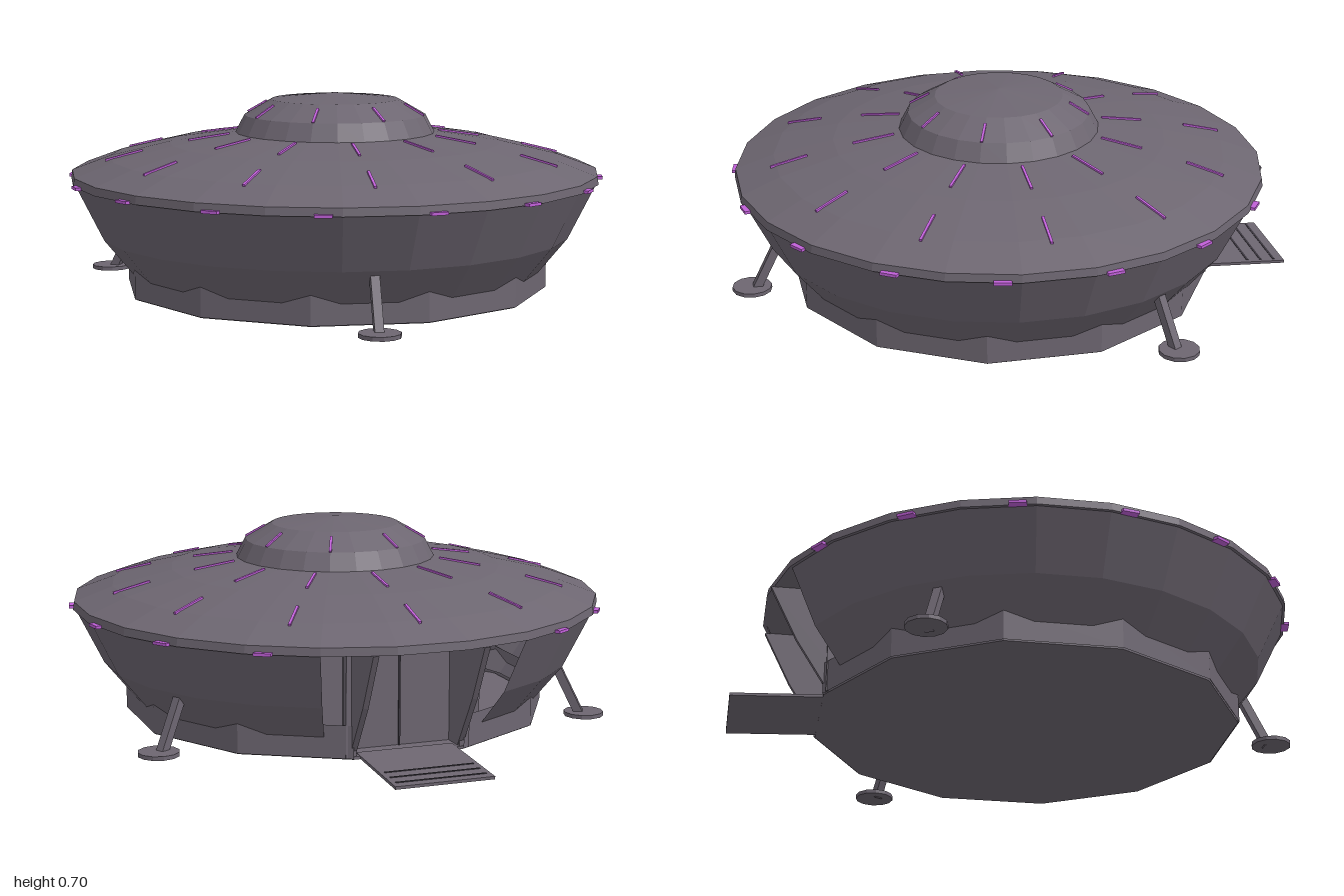
import * as THREE from 'three';

const DEG = Math.PI / 180;

export function createModel() {
  const group = new THREE.Group();
  const craft = new THREE.Group();
  craft.name = 'saucer';
  craft.position.z = 0.032;
  group.add(craft);

  const make = (name, color) => {
    const m = new THREE.MeshStandardMaterial({ color, flatShading: true, side: THREE.DoubleSide });
    m.name = name;
    return m;
  };
  const metal = make('grey metal', 0x6d6671);
  const glow = make('purple light', 0xc060d8);
  const dark = make('dark groove', 0x3a363e);

  const add = (name, geometry, material = metal, parent = craft) => {
    const mesh = new THREE.Mesh(geometry, material);
    mesh.name = name;
    parent.add(mesh);
    return mesh;
  };
  const lathe = (pts, segments, start, length) => new THREE.LatheGeometry(
    pts.map(([r, y]) => new THREE.Vector2(r, y)), segments, start * DEG, length * DEG);

  // Upper disc with rim, and the dome on top
  const discProfile = [[0.92, 0.4], [0.934, 0.402], [0.93, 0.43], [0.795, 0.48], [0.585, 0.53], [0.33, 0.567]];
  const domeProfile = [[0.354, 0.56], [0.32, 0.625], [0.225, 0.68], [0, 0.702]];
  add('upperDisc', lathe(discProfile, 24, 7.5, 360));
  add('dome', lathe(domeProfile, 24, 7.5, 360));
  add('discUnderside', lathe([[0, 0.402], [0.92, 0.402]], 24, 7.5, 360));

  // Lower hull and twelve-sided base, both open at the back for the doorway
  add('lowerHull', lathe([[0.7, 0.05], [0.83, 0.21], [0.925, 0.402]], 21, 202.5, 315));
  add('baseRing', lathe([[0.75, 0.018], [0.75, 0.13]], 11, 195, 330));
  const floor = add('floor', new THREE.CylinderGeometry(0.745, 0.745, 0.01, 12, 1, false, 15 * DEG));
  floor.position.y = 0.02;

  // Radial light strips lying on a profile, from radius r1 to r2
  const heightAt = (profile, r) => {
    for (let i = 1; i < profile.length; i++) {
      const [ra, ya] = profile[i - 1], [rb, yb] = profile[i];
      if (r <= ra && r >= rb) return ya + (yb - ya) * (ra - r) / (ra - rb);
    }
    return profile[0][1];
  };
  const strips = (name, profile, count, offset, r1, r2) => {
    const y1 = heightAt(profile, r1), y2 = heightAt(profile, r2);
    for (let i = 0; i < count; i++) {
      const pivot = new THREE.Group();
      pivot.rotation.y = (offset + i * 360 / count) * DEG;
      craft.add(pivot);
      const strip = add(name, new THREE.BoxGeometry(0.009, 0.009, Math.hypot(r2 - r1, y2 - y1)), glow, pivot);
      strip.position.set(0, (y1 + y2) / 2 + 0.001, (r1 + r2) / 2);
      strip.rotation.x = Math.atan2(y1 - y2, r2 - r1);
    }
  };
  const top = discProfile.slice(2);
  strips('outerStrip', top, 12, 0, 0.68, 0.81);
  strips('innerStrip', top, 12, 0, 0.375, 0.52);
  strips('domeStrip', domeProfile, 8, 22.5, 0.25, 0.319);

  // Lamps round the rim, left out above the doorway
  for (let i = 0; i < 16; i++) {
    const a = (11.25 + i * 22.5) * DEG;
    if (Math.cos(a) < -0.95) continue;
    const lamp = add('rimLamp', new THREE.BoxGeometry(0.058, 0.01, 0.03), glow);
    lamp.position.set(0.93 * Math.sin(a), 0.405, 0.93 * Math.cos(a));
    lamp.rotation.y = a;
  }

  // Three slanted legs with round feet
  for (let i = 0; i < 3; i++) {
    const leg = new THREE.Group();
    leg.name = 'leg';
    leg.rotation.y = i * 120 * DEG;
    craft.add(leg);
    const foot = add('foot', new THREE.CylinderGeometry(0.07, 0.07, 0.014, 12), metal, leg);
    foot.position.set(0, 0.021, 0.895);
    const strut = add('strut', new THREE.BoxGeometry(0.03, 0.22, 0.03), metal, leg);
    strut.position.set(0, 0.115, 0.832);
    strut.rotation.x = -Math.atan2(0.09, 0.18);
  }

  // Doorway: side walls following the hull slope, posts, inner wall and lamp
  const wallShape = new THREE.Shape([[0.62, 0.02], [0.7, 0.02], [0.82, 0.21], [0.915, 0.402], [0.62, 0.402]]
    .map(([x, y]) => new THREE.Vector2(x, y)));
  for (const side of [-1, 1]) {
    const wall = add('doorwayWall', new THREE.ExtrudeGeometry(wallShape, { depth: 0.02, bevelEnabled: false }));
    wall.rotation.y = Math.PI / 2;
    wall.position.x = side * 0.19 - 0.01;
    const post = add('doorPost', new THREE.BoxGeometry(0.035, 0.38, 0.03));
    post.position.set(side * 0.2, 0.21, -0.7);
  }
  const inner = add('innerWall', new THREE.BoxGeometry(0.58, 0.38, 0.02));
  inner.position.set(0, 0.21, -0.62);
  const seam = add('doorSeam', new THREE.BoxGeometry(0.006, 0.33, 0.006), dark);
  seam.position.set(0, 0.19, -0.632);
  const doorLamp = add('doorLamp', new THREE.BoxGeometry(0.25, 0.012, 0.012), glow);
  doorLamp.position.set(0, 0.37, -0.636);

  // Boarding ramp with grooves
  const ramp = new THREE.Group();
  ramp.name = 'ramp';
  ramp.position.set(0, 0.014, -0.856);
  ramp.rotation.x = -0.05;
  craft.add(ramp);
  add('rampPlate', new THREE.BoxGeometry(0.34, 0.01, 0.352), metal, ramp);
  for (const z of [-0.14, -0.09, -0.04]) {
    const groove = add('rampGroove', new THREE.BoxGeometry(0.31, 0.002, 0.008), dark, ramp);
    groove.position.set(0, 0.0055, z);
  }
  return group;
}
